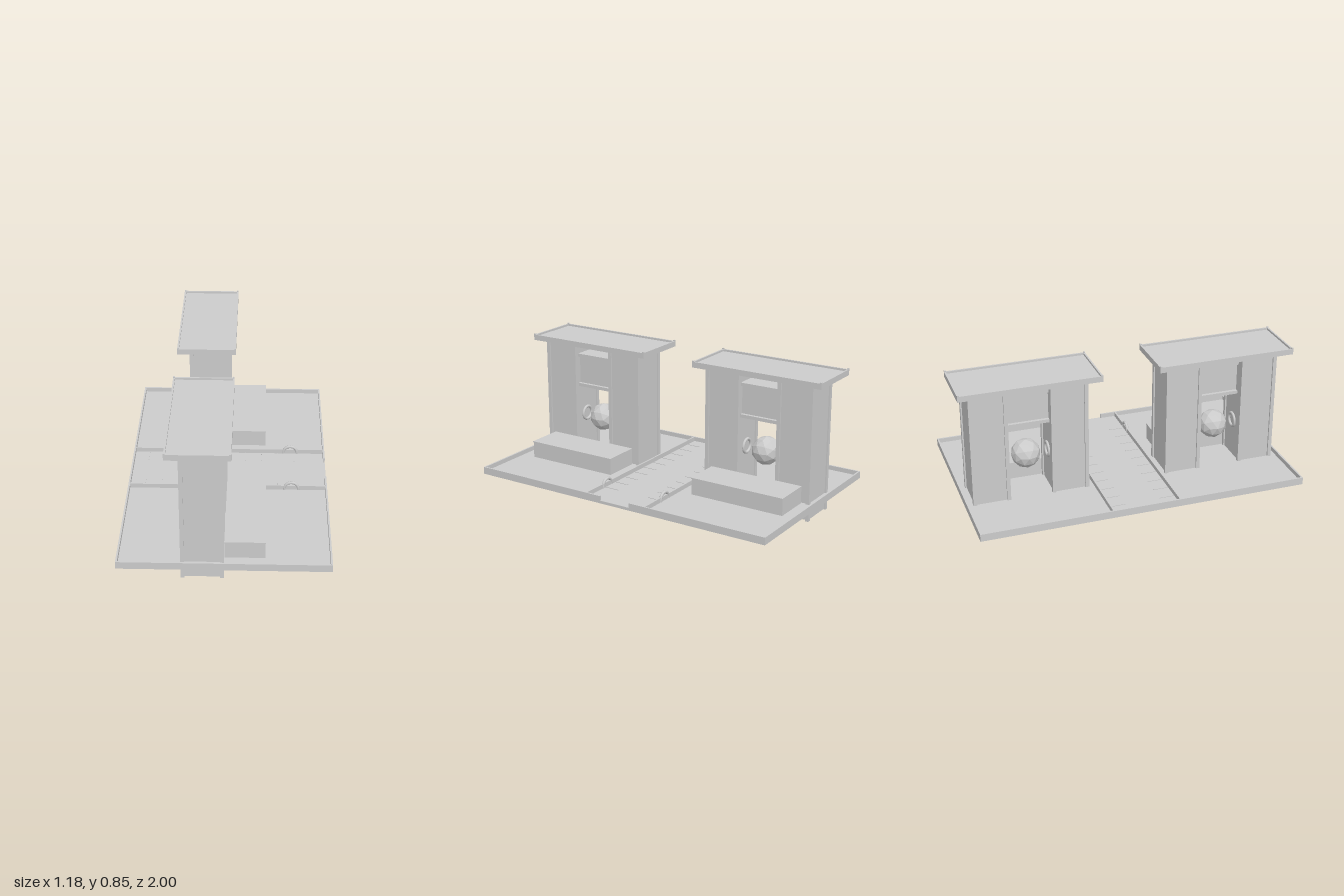
import * as THREE from 'three';

const mat = new THREE.MeshStandardMaterial({ color: 0xcccccc });
const flat = new THREE.MeshStandardMaterial({ color: 0xcccccc, flatShading: true });

// Box given by its min and max corners
function box(parent, name, [x0, y0, z0], [x1, y1, z1]) {
  const m = new THREE.Mesh(new THREE.BoxGeometry(x1 - x0, y1 - y0, z1 - z0), mat);
  m.position.set((x0 + x1) / 2, (y0 + y1) / 2, (z0 + z1) / 2);
  m.name = name;
  parent.add(m);
  return m;
}

function ring(parent, name, x, y, z) {
  const m = new THREE.Mesh(new THREE.TorusGeometry(0.041, 0.009, 10, 28), mat);
  m.position.set(x, y, z);
  m.name = name;
  parent.add(m);
}

// Square pillar with a strip at each corner
function pillar(parent, z) {
  const g = new THREE.Group();
  g.name = 'pillar';
  box(g, 'pillarBody', [-0.23, 0.004, z - 0.102], [-0.01, 0.81, z + 0.102]);
  for (const x of [-0.24, -0.022])
    for (const s of [-1, 1])
      box(g, 'cornerStrip', [x, 0, z + s * 0.1 - 0.011], [x + 0.022, 0.81, z + s * 0.1 + 0.011]);
  parent.add(g);
}

// Shallow roof tray with rim and corner pins
function roof(parent) {
  const g = new THREE.Group();
  g.name = 'roof';
  const a = -0.31, b = 0.04, c = 0.415, t = 0.01;
  box(g, 'roofPanel', [a, 0.806, -c], [b, 0.828, c]);
  for (const x of [a, b - t]) box(g, 'roofRim', [x, 0.806, -c], [x + t, 0.84, c]);
  for (const z of [-c, c - t]) box(g, 'roofRim', [a, 0.806, z], [b, 0.84, z + t]);
  for (const x of [a, b - t])
    for (const z of [-c, c - t]) box(g, 'cornerPin', [x, 0.806, z], [x + t, 0.846, z + t]);
  parent.add(g);
}

// Gate: two pillars, lintel, ball, rings, bench and roof
function gate(z) {
  const g = new THREE.Group();
  g.name = 'gate';
  g.position.z = z;
  for (const s of [-1, 1]) {
    pillar(g, s * 0.236);
    ring(g, 'wallRing', -0.12, 0.335, s * 0.131);
  }
  box(g, 'lintelPanel', [-0.15, 0.54, -0.14], [-0.06, 0.735, 0.14]);
  for (const y of [0.53, 0.72]) box(g, 'lintelBar', [-0.17, y, -0.14], [-0.04, y + 0.02, 0.14]);
  const ball = new THREE.Mesh(new THREE.IcosahedronGeometry(0.087, 1), flat);
  ball.name = 'ball';
  ball.position.set(-0.12, 0.33, 0);
  g.add(ball);
  box(g, 'bench', [0, 0.08, -0.296], [0.225, 0.205, 0.296]);
  box(g, 'benchLid', [0, 0.2, -0.298], [0.228, 0.208, 0.298]);
  roof(g);
  return g;
}

export function createModel() {
  const model = new THREE.Group();
  model.name = 'twinGates';
  const X = 0.592, Z = 0.975, t = 0.01, y0 = 0.087, y1 = 0.131;

  // Base tray, with an opening in the +x rim
  const base = new THREE.Group();
  base.name = 'base';
  box(base, 'floor', [-X, y0, -Z], [X, 0.104, Z]);
  box(base, 'rim', [-X, y0, -Z], [-X + t, y1, Z]);
  box(base, 'rim', [X - t, y0, -Z], [X, y1, -0.1]);
  box(base, 'rim', [X - t, y0, 0.1], [X, y1, Z]);
  for (const z of [-Z, Z - t]) box(base, 'rim', [-X, y0, z], [X, y1, z + t]);

  // Dividing walls, rings and floor ticks along the middle lane
  for (const s of [-1, 1]) {
    box(base, 'divider', [-X, y0, s * 0.202 - 0.005], [X, y1, s * 0.202 + 0.005]);
    ring(base, 'dividerRing', 0.38, 0.11, s * 0.202);
    for (let i = 0; i < 10; i++) {
      const x = -0.5 + i * 0.1;
      box(base, 'floorTick', [x, 0.1, s * 0.15 - 0.045], [x + 0.006, 0.107, s * 0.15 + 0.045]);
    }
  }
  model.add(base, gate(0.585), gate(-0.585));
  return model;
}
